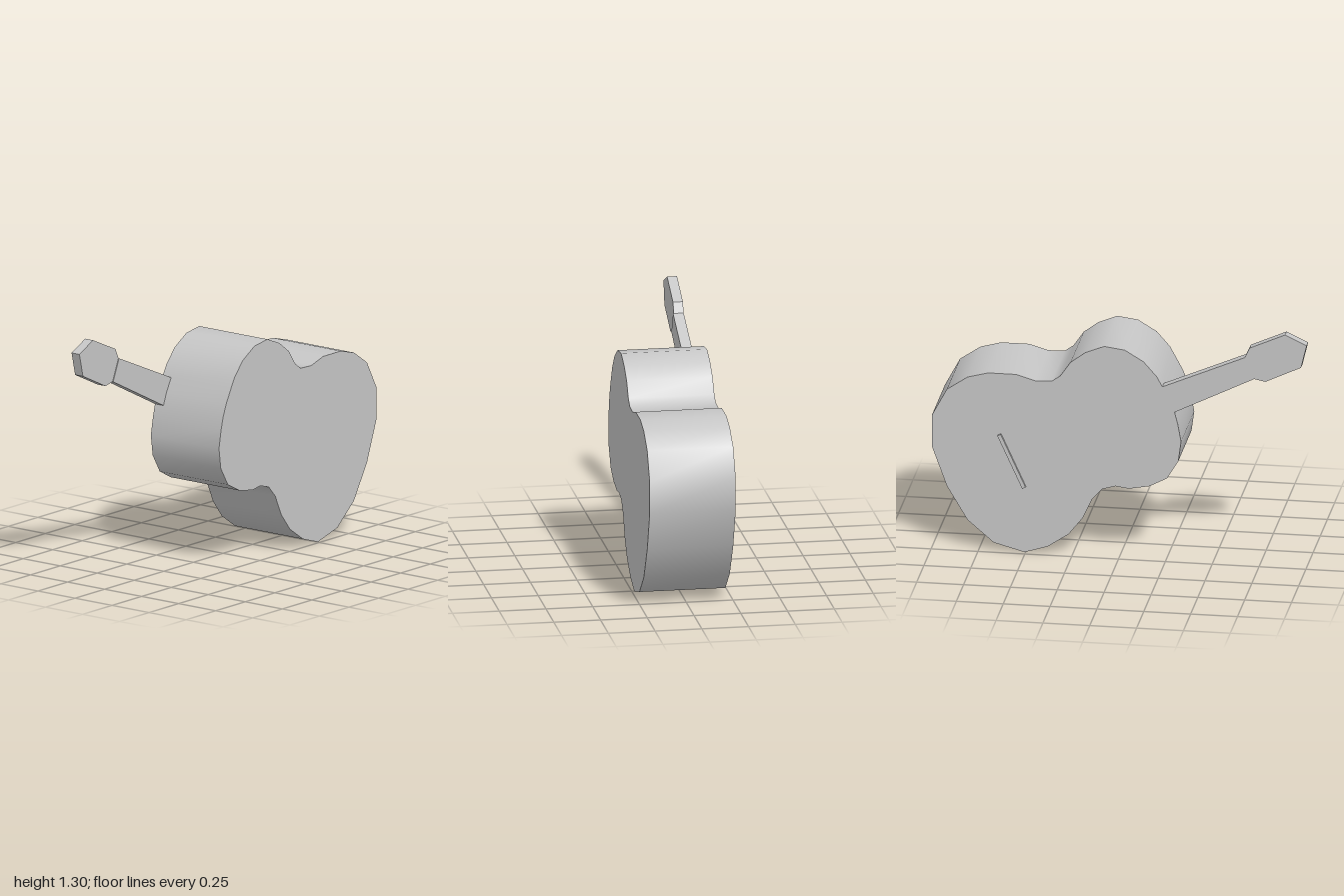
import * as THREE from 'three';
import { toCreasedNormals } from 'three/addons/utils/BufferGeometryUtils.js';

export function createModel() {
  const model = new THREE.Group();
  model.name = 'guitar';
  const grey = new THREE.MeshStandardMaterial({ color: 0xc6c6c6 });
  grey.name = 'plain grey';

  // Extrudes an outline between two depths, smoothing only gentle bends
  function slab(name, points, back, front, crease) {
    const shape = new THREE.Shape(points.map(([x, y]) => new THREE.Vector2(x, y)));
    const geometry = new THREE.ExtrudeGeometry(shape, { depth: front - back, bevelEnabled: false });
    geometry.translate(0, 0, back);
    const mesh = new THREE.Mesh(toCreasedNormals(geometry, crease), grey);
    mesh.name = name;
    model.add(mesh);
    return mesh;
  }

  // Deep figure-of-eight sound box, clockwise from the neck joint
  slab('body', [
    [-0.23, 0.975], [-0.2, 1.03], [-0.13, 1.11], [-0.03, 1.17], [0.08, 1.185],
    [0.18, 1.145], [0.26, 1.085], [0.315, 1.005], [0.36, 0.973], [0.45, 0.97],
    [0.55, 1.0], [0.7, 1.0], [0.81, 0.97], [0.92, 0.895], [1.0, 0.745],
    [1.0, 0.57], [0.92, 0.35], [0.81, 0.165], [0.67, 0.045], [0.505, 0],
    [0.38, 0.04], [0.27, 0.115], [0.195, 0.21], [0.145, 0.32], [0.09, 0.38],
    [0.02, 0.4], [-0.05, 0.39], [-0.16, 0.41], [-0.255, 0.46], [-0.315, 0.56],
    [-0.33, 0.67], [-0.312, 0.77], [-0.295, 0.835], [-0.27, 0.9],
  ], -0.223, 0.237, 0.75);

  // Slim neck joining the back edge of the body
  slab('neck', [
    [-0.23, 0.975], [-0.67, 1.165], [-0.72, 1.047], [-0.295, 0.835], [-0.27, 0.9],
  ], -0.223, -0.166, 0.1);

  // Flared headstock
  slab('headstock', [
    [-0.67, 1.165], [-0.695, 1.22], [-0.885, 1.305], [-1, 1.25],
    [-0.97, 1.125], [-0.78, 1.035], [-0.72, 1.047],
  ], -0.223, -0.17, 0.1);

  // Narrow bridge bar set across the line of the neck
  const bridge = new THREE.Mesh(new THREE.BoxGeometry(0.02, 0.32, 0.03), grey);
  bridge.name = 'bridge';
  bridge.position.set(0.573, 0.512, -0.223);
  bridge.rotation.z = -0.428;
  model.add(bridge);

  return model;
}
